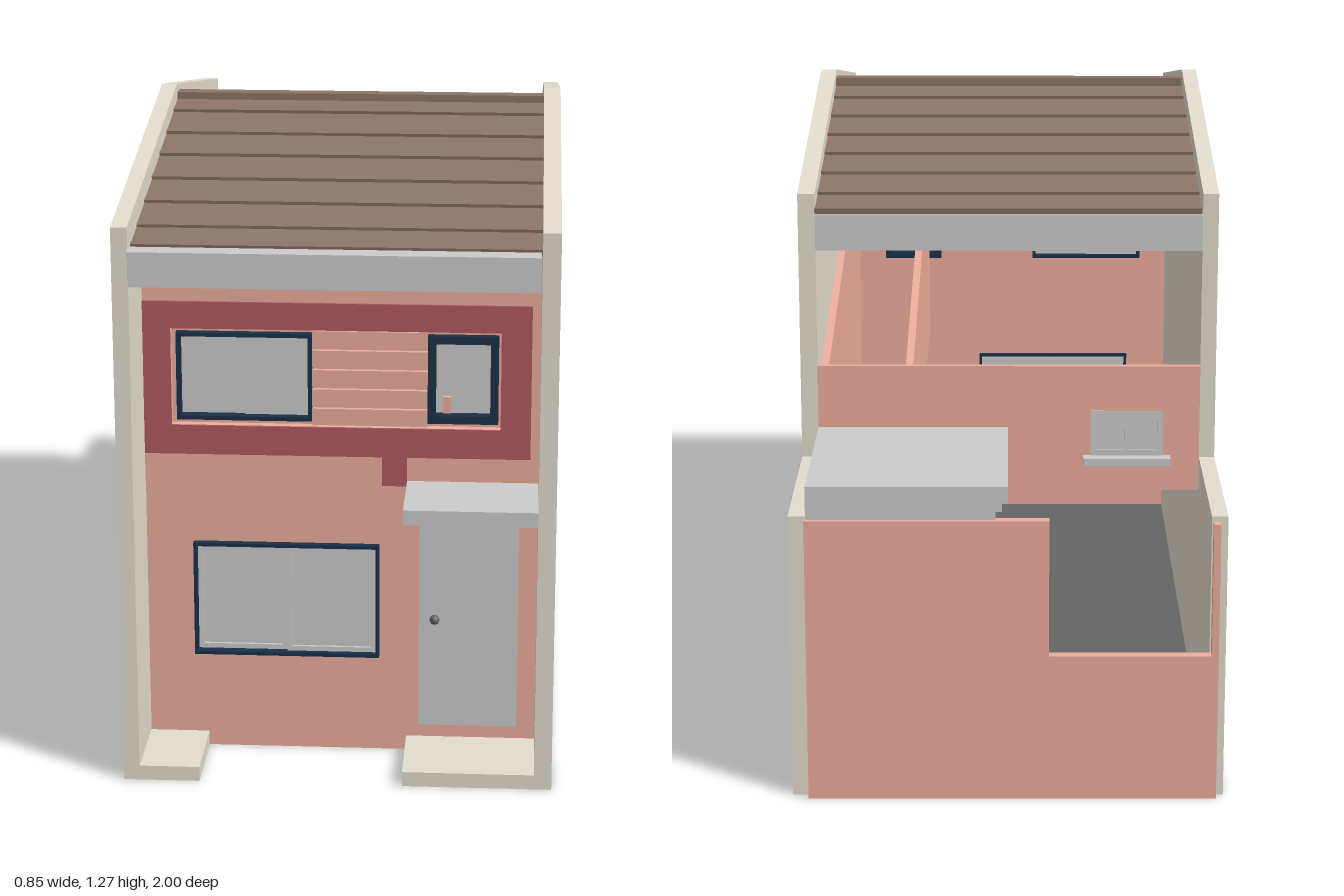
import * as THREE from 'three';

const mat = (color) => new THREE.MeshStandardMaterial({ color });
const GREY = mat(0xcccccc), CONCRETE = mat(0xc0c0c0), BEIGE = mat(0xe3dccd), SALMON = mat(0xebad9c);
const RED = mat(0xb05960), NAVY = mat(0x1a3048), TILE = mat(0x8c7568), DARK = mat(0x646464);

export function createModel() {
  const model = new THREE.Group();

  // Box given by its min/max on each axis
  const box = (name, m, x0, x1, y0, y1, z0, z1, parent = model) => {
    const mesh = new THREE.Mesh(new THREE.BoxGeometry(x1 - x0, y1 - y0, z1 - z0), m);
    mesh.position.set((x0 + x1) / 2, (y0 + y1) / 2, (z0 + z1) / 2);
    mesh.name = name;
    parent.add(mesh);
    return mesh;
  };

  // Panel in the xy plane with rectangular openings [x0, x1, y0, y1]
  const panel = (name, m, [x0, x1, y0, y1], holes, z0, z1, parent = model) => {
    const rect = (P, a, b, c, d) => new P([[a, c], [b, c], [b, d], [a, d]].map((p) => new THREE.Vector2(...p)));
    const shape = rect(THREE.Shape, x0, x1, y0, y1);
    shape.holes = holes.map((h) => rect(THREE.Path, ...h));
    const mesh = new THREE.Mesh(new THREE.ExtrudeGeometry(shape, { depth: z1 - z0, bevelEnabled: false }), m);
    mesh.position.z = z0;
    mesh.name = name;
    parent.add(mesh);
  };

  // Upright slab along z from a [z, y] outline
  const sideSlab = (name, m, outline, x0, x1) => {
    const shape = new THREE.Shape(outline.map(([z, y]) => new THREE.Vector2(-z, y)));
    const geo = new THREE.ExtrudeGeometry(shape, { depth: x1 - x0, bevelEnabled: false });
    geo.rotateY(Math.PI / 2);
    const mesh = new THREE.Mesh(geo, m);
    mesh.position.x = x0;
    mesh.name = name;
    model.add(mesh);
  };

  // Gabled side walls with a low part beside the rear yard
  const profile = [[0.98, 0], [0.98, 1.135], [0.2, 1.266], [-0.58, 1.135], [-0.58, 0.58], [-0.98, 0.58], [-0.98, 0]];
  sideSlab('leftSideWall', BEIGE, profile, 0.392, 0.427);
  sideSlab('rightSideWall', BEIGE, profile, -0.427, -0.395);

  // Ground floor, inner lining and partition
  box('floor', DARK, -0.395, 0.392, 0.03, 0.04, -0.985, 0.782);
  box('yardLining', SALMON, 0.383, 0.392, 0.04, 0.577, -0.985, -0.58);
  sideSlab('innerLining', SALMON, [[0.78, 0.03], [0.78, 0.79], [0.2, 0.86], [-0.58, 0.725], [-0.58, 0.03]], 0.376, 0.392);
  sideSlab('partition', SALMON, [[0.78, 0.5], [0.78, 0.75], [0.2, 0.85], [-0.57, 0.715], [-0.57, 0.5]], 0.2, 0.216);

  // Front wall with a shallow clad recess between the upper windows
  const lowWin = [-0.3, 0.075, 0.205, 0.445], upWin = [-0.33, -0.06, 0.7, 0.88], sideWin = [0.17, 0.31, 0.7, 0.88];
  const recess = [-0.34, 0.315, 0.69, 0.89];
  panel('frontWall', SALMON, [-0.395, 0.392, 0, 1.06], [lowWin, recess], 0.78, 0.8);
  panel('recessWall', SALMON, recess, [upWin, sideWin], 0.765, 0.782);
  panel('redSurround', RED, [-0.395, 0.375, 0.63, 0.945], [recess], 0.8, 0.805);
  box('redStub', RED, 0.08, 0.13, 0.57, 0.63, 0.8, 0.805);
  box('ledge', SALMON, -0.395, 0.08, 0.57, 0.63, 0.8, 0.805);
  for (let i = 0; i < 5; i++) {
    const y = 0.691 + i * 0.04;
    box('claddingBoard', SALMON, -0.06, 0.17, y, y + 0.034, 0.78, 0.792);
  }

  // Window: dark outer frame, flat panes, optional raised sash rims
  const windowUnit = (name, [x0, x1, y0, y1], count, t, z, rims) => {
    const g = new THREE.Group();
    g.name = name;
    model.add(g);
    panel('frame', NAVY, [x0, x1, y0, y1], [[x0 + t, x1 - t, y0 + t, y1 - t]], z - 0.03, z + 0.015, g);
    const w = (x1 - x0 - 2 * t) / count;
    for (let i = 0; i < count; i++) {
      const a = x0 + t + i * w, b = a + w, c = y0 + t, d = y1 - t, zs = z - 0.016 + i * 0.006;
      if (rims) panel('sash', GREY, [a, b, c, d], [[a + 0.01, b - 0.01, c + 0.01, d - 0.01]], zs, zs + 0.012, g);
      box('pane', GREY, a, b, c, d, zs - 0.002, zs + 0.006, g);
    }
  };
  windowUnit('lowerWindow', lowWin, 2, 0.007, 0.8, true);
  windowUnit('upperWindow', upWin, 2, 0.008, 0.784, false);
  windowUnit('upperSideWindow', sideWin, 1, 0.016, 0.784, false);

  // Door, knob, canopy and steps
  box('door', GREY, 0.155, 0.355, 0.057, 0.525, 0.79, 0.804);
  const knob = new THREE.Mesh(new THREE.SphereGeometry(0.01, 12, 8), DARK);
  knob.position.set(0.187, 0.29, 0.813);
  knob.name = 'doorKnob';
  model.add(knob);
  box('doorCanopy', CONCRETE, 0.13, 0.392, 0.55, 0.58, 0.8, 0.98);
  box('doorStep', BEIGE, 0.13, 0.392, 0, 0.03, 0.8, 0.98);
  box('sideStep', BEIGE, -0.395, -0.275, 0, 0.03, 0.8, 0.98);

  // Roof: a sloping board under overlapping tile rows, cut at the given distances from the ridge
  const slopes = [
    ['frontRoofSlope', 0, 0.192, [0, 0.08, 0.2, 0.315, 0.435, 0.55, 0.665, 0.755]],
    ['rearRoofSlope', Math.PI, 0.176, [0, 0.11, 0.23, 0.345, 0.46, 0.575, 0.69, 0.78]],
  ];
  for (const [name, turn, slope, cuts] of slopes) {
    const g = new THREE.Group(), stretch = Math.hypot(1, slope);
    g.name = name;
    g.position.set(0, 1.234, 0.2);
    g.rotation.set(Math.atan(slope), turn, 0, 'YXZ');
    model.add(g);
    box('roofBoard', GREY, -0.393, 0.393, -0.014, -0.004, 0, cuts.at(-1) * stretch, g);
    for (let i = 1; i < cuts.length; i++) {
      const row = box('tileRow', TILE, -0.393, 0.393, -0.005, 0.004, cuts[i - 1] * stretch, cuts[i] * stretch, g);
      row.rotation.x = -0.035;
      box('tileLip', TILE, -0.393, 0.393, 0, 0.0085, cuts[i] * stretch - 0.014, cuts[i] * stretch, g);
    }
  }
  box('ridgeCap', TILE, -0.393, 0.393, 1.225, 1.25, 0.175, 0.21);

  // Front gutter and rear fascia
  box('gutter', CONCRETE, -0.395, 0.39, 1.08, 1.092, 0.94, 1);
  box('gutterFace', CONCRETE, -0.395, 0.39, 1.035, 1.08, 0.95, 0.988);
  box('gutterBase', CONCRETE, -0.395, 0.39, 1.018, 1.035, 0.945, 0.978);
  box('rearFascia', CONCRETE, -0.395, 0.392, 1.018, 1.09, -0.583, -0.565);

  // Rear house wall with a small window and sill, open above and below
  const rearWin = [-0.32, -0.17, 0.585, 0.68];
  panel('rearWall', SALMON, [-0.395, 0.392, 0.51, 0.775], [rearWin], -0.583, -0.57);
  panel('rearWindowFrame', GREY, rearWin, [[-0.308, -0.25, 0.597, 0.668], [-0.24, -0.182, 0.597, 0.668]], -0.586, -0.565);
  box('rearWindowPane', GREY, -0.32, -0.17, 0.585, 0.68, -0.58, -0.574);
  box('rearWindowSill', GREY, -0.335, -0.155, 0.57, 0.585, -0.612, -0.57);

  // Rear yard wall: tall under the slab, low beside it, with an end post
  box('yardWallTall', SALMON, -0.08, 0.395, 0, 0.577, -1, -0.98);
  box('yardWallLow', SALMON, -0.412, -0.08, 0, 0.3, -1, -0.98);
  box('yardWallPost', SALMON, -0.412, -0.398, 0.3, 0.57, -1, -0.98);

  // Rear slab with a stepped edge
  box('rearSlab', CONCRETE, 0, 0.392, 0.612, 0.645, -0.996, -0.58);
  box('rearSlabStep', CONCRETE, 0.012, 0.392, 0.594, 0.612, -0.994, -0.58);
  box('rearSlabBase', CONCRETE, 0.024, 0.392, 0.577, 0.594, -0.992, -0.58);

  return model;
}
